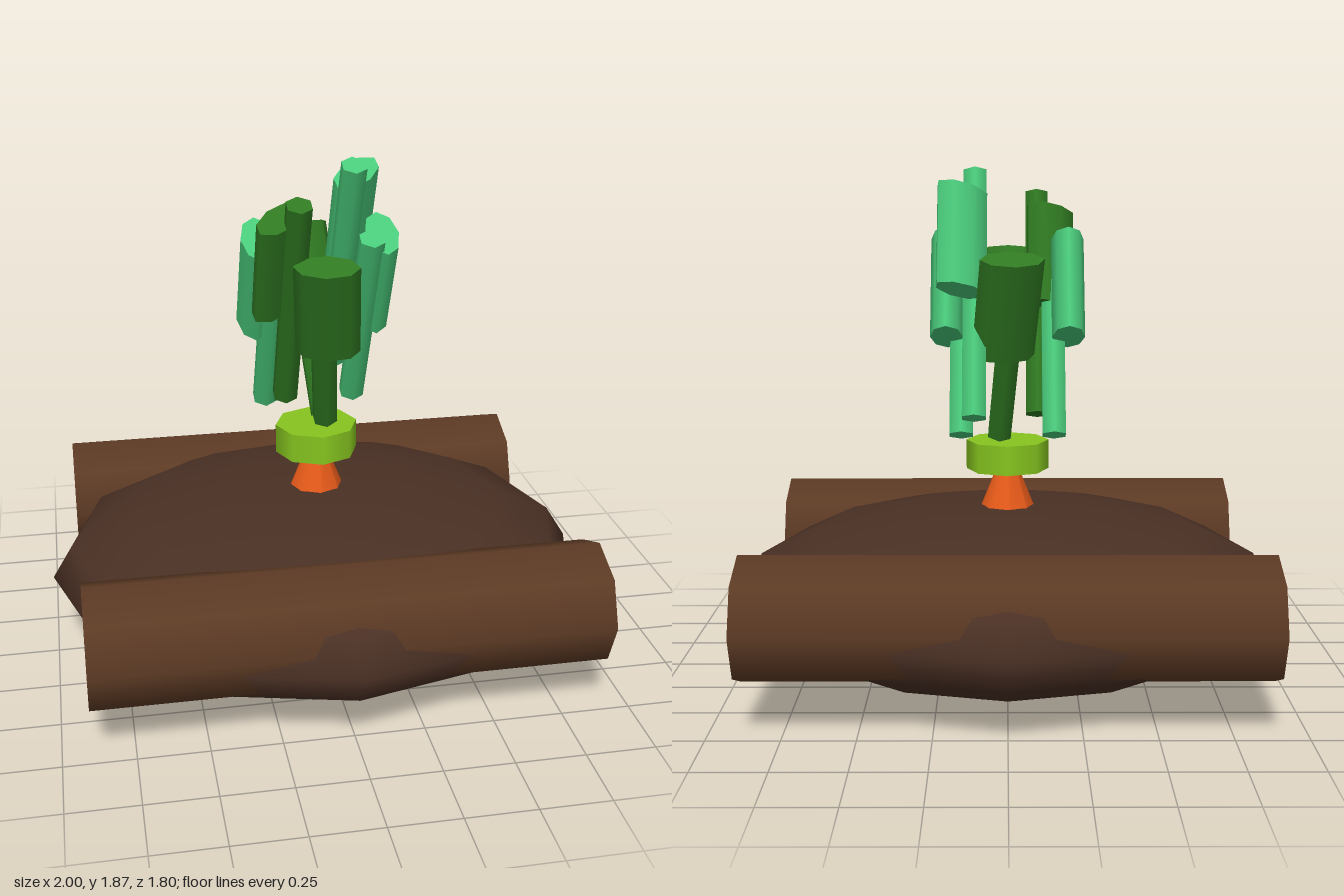
import * as THREE from 'three';

const mat = (color) => new THREE.MeshStandardMaterial({ color });
const UP = new THREE.Vector3(0, 1, 0);

export function createModel() {
  const model = new THREE.Group();
  model.name = 'carrotPatch';
  const soilMat = mat(0x4a3024), logMat = mat(0x5c3a24), carrotMat = mat(0xe65a19);
  const collarMat = mat(0x86c51f), darkMat = mat(0x307a22), lightMat = mat(0x4acb7b);

  const add = (name, geometry, material, x = 0, y = 0, z = 0) => {
    const mesh = new THREE.Mesh(geometry, material);
    mesh.name = name;
    mesh.position.set(x, y, z);
    model.add(mesh);
    return mesh;
  };

  // Flattened mound of soil
  add('soilMound', new THREE.SphereGeometry(1, 12, 8).scale(1, 0.316, 0.9), soilMat, 0, 0.322, 0);

  // Log on the front and back edges
  for (const [name, z] of [['frontLog', 0.61], ['backLog', -0.61]]) {
    const log = new THREE.CylinderGeometry(0.22, 0.22, 1.8, 8).rotateZ(Math.PI / 2);
    add(name, log, logMat, 0, 0.38, z);
  }

  // Carrot shoulder and the collar the greens grow from
  add('carrot', new THREE.CylinderGeometry(0.03, 0.15, 0.3, 8), carrotMat, 0, 0.65, 0);
  add('collar', new THREE.CylinderGeometry(0.152, 0.152, 0.108, 8), collarMat, 0, 0.824, 0);

  // A six-sided stem between two points with a flattened leaf, turned about the stem's direction
  const frond = (name, material, from, to, leafCentre, twist) => {
    const a = new THREE.Vector3(...from), b = new THREE.Vector3(...to);
    const along = b.clone().sub(a);
    const turn = new THREE.Quaternion().setFromUnitVectors(UP, along.clone().normalize());
    const mid = a.clone().add(b).multiplyScalar(0.5);
    const stem = add(name + 'Stem', new THREE.CylinderGeometry(0.048, 0.048, along.length(), 6), material, mid.x, mid.y, mid.z);
    stem.quaternion.copy(turn);
    const leafGeo = new THREE.CylinderGeometry(1, 1, 0.38, 8).scale(0.115, 1, 0.06);
    const leaf = add(name + 'Leaf', leafGeo, material, ...leafCentre);
    leaf.quaternion.copy(turn).multiply(
      new THREE.Quaternion().setFromAxisAngle(UP, THREE.MathUtils.degToRad(twist)));
  };

  // Dark fronds fan forward and backward
  frond('frontDark', darkMat, [0.03, 0.9, 0.02], [-0.03, 1.53, 0.29], [0, 1.385, 0.22], -13);
  frond('backDark', darkMat, [0.03, 0.9, -0.02], [-0.03, 1.53, -0.29], [0, 1.385, -0.22], 13);
  frond('tallDark', darkMat, [-0.11, 0.98, -0.04], [-0.11, 1.775, 0.295], [-0.16, 1.54, 0.15], 45);

  // Light fronds lean forward
  frond('tallLight', lightMat, [0.118, 1.01, -0.31], [0.118, 1.855, 0.085], [0.16, 1.62, -0.16], 45);
  for (const [name, s] of [['leftLight', 1], ['rightLight', -1]])
    frond(name, lightMat, [s * 0.167, 0.925, -0.17], [s * 0.167, 1.615, 0.165], [s * 0.22, 1.44, 0], 90);

  return model;
}
